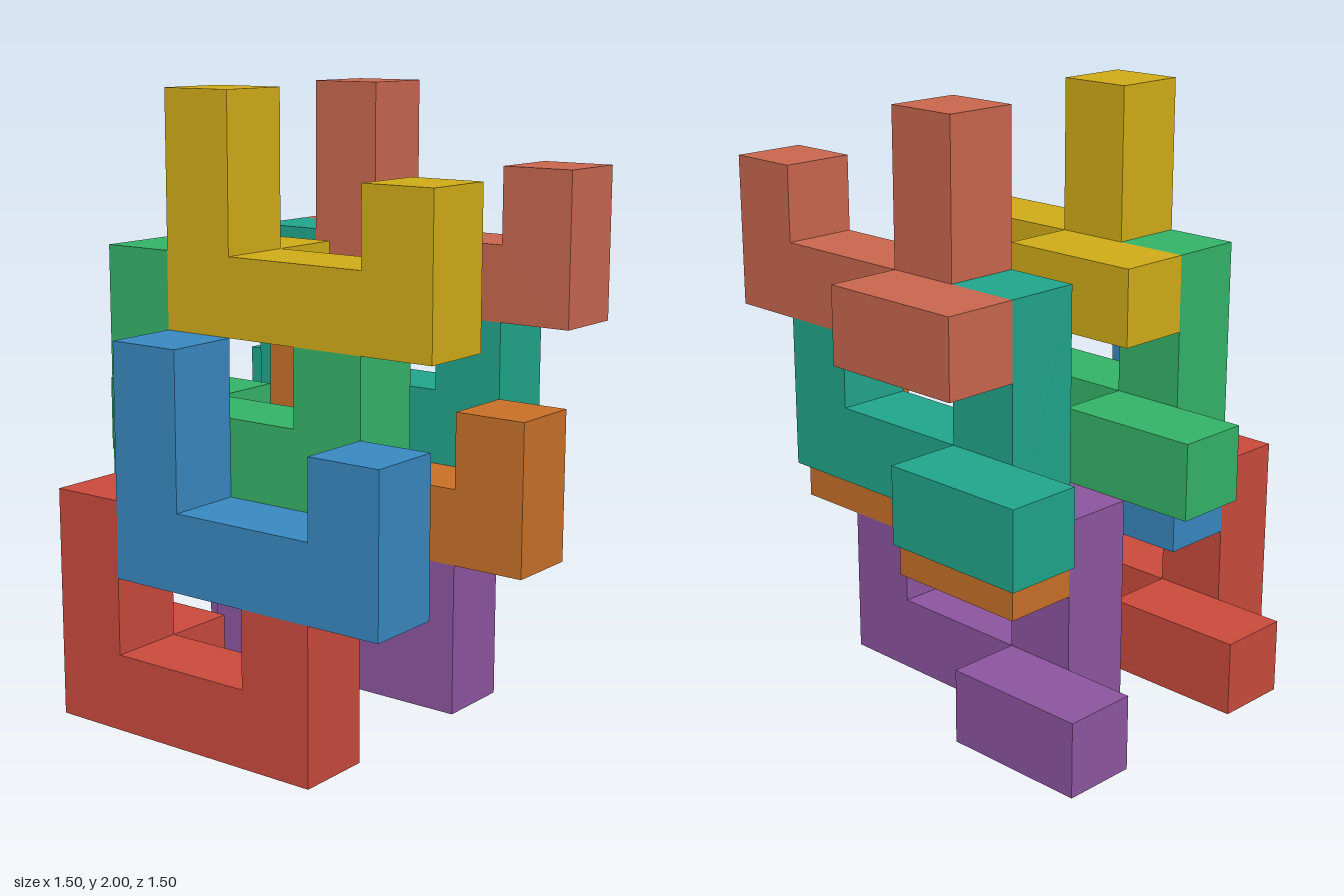
import * as THREE from 'three';

const U = 0.25; // one cube cell

// Cross-section of a hook: a four-cell bar with a tall back post and a short front post.
// Drawn facing sideways, then turned so that the bar runs along +z.
function hookGeometry() {
  const outline = [[0, 0], [0, 3], [-1, 3], [-1, 1], [-3, 1], [-3, 2], [-4, 2], [-4, 0]];
  const shape = new THREE.Shape(outline.map(([x, y]) => new THREE.Vector2(x * U, y * U)));
  const geometry = new THREE.ExtrudeGeometry(shape, { depth: U, bevelEnabled: false });
  return geometry.rotateY(Math.PI / 2);
}

// Two-cell arm beside the tall post, reaching one cell further back.
function armGeometry() {
  return new THREE.BoxGeometry(U, U, 2 * U).translate(1.5 * U, U / 2, 0);
}

export function createModel() {
  const group = new THREE.Group();
  group.name = 'interlockingBlocks';
  const hook = hookGeometry();
  const arm = armGeometry();

  // Four layers of two identical pieces; x, y, z are in cells.
  const layers = [
    { y: 0, z: -2, x: -3, colors: [['red', 0xc94a3c], ['purple', 0x8c55a0]] },
    { y: 2, z: -1, x: -3, colors: [['blue', 0x3888c0], ['orange', 0xc87028]] },
    { y: 3, z: -2, x: -2, colors: [['green', 0x34b368], ['teal', 0x20a58a]] },
    { y: 5, z: -1, x: -2, colors: [['yellow', 0xd0ac18], ['coral', 0xc8664e]] },
  ];

  for (const { x, y, z, colors } of layers) {
    colors.forEach(([name, color], i) => {
      const piece = new THREE.Group();
      piece.name = `${name}Piece`;
      const material = new THREE.MeshStandardMaterial({ color });
      const bar = new THREE.Mesh(hook, material);
      bar.name = `${name}Hook`;
      const side = new THREE.Mesh(arm, material);
      side.name = `${name}Arm`;
      piece.add(bar, side);
      piece.position.set((x + 3 * i) * U, y * U, z * U);
      group.add(piece);
    });
  }
  return group;
}
